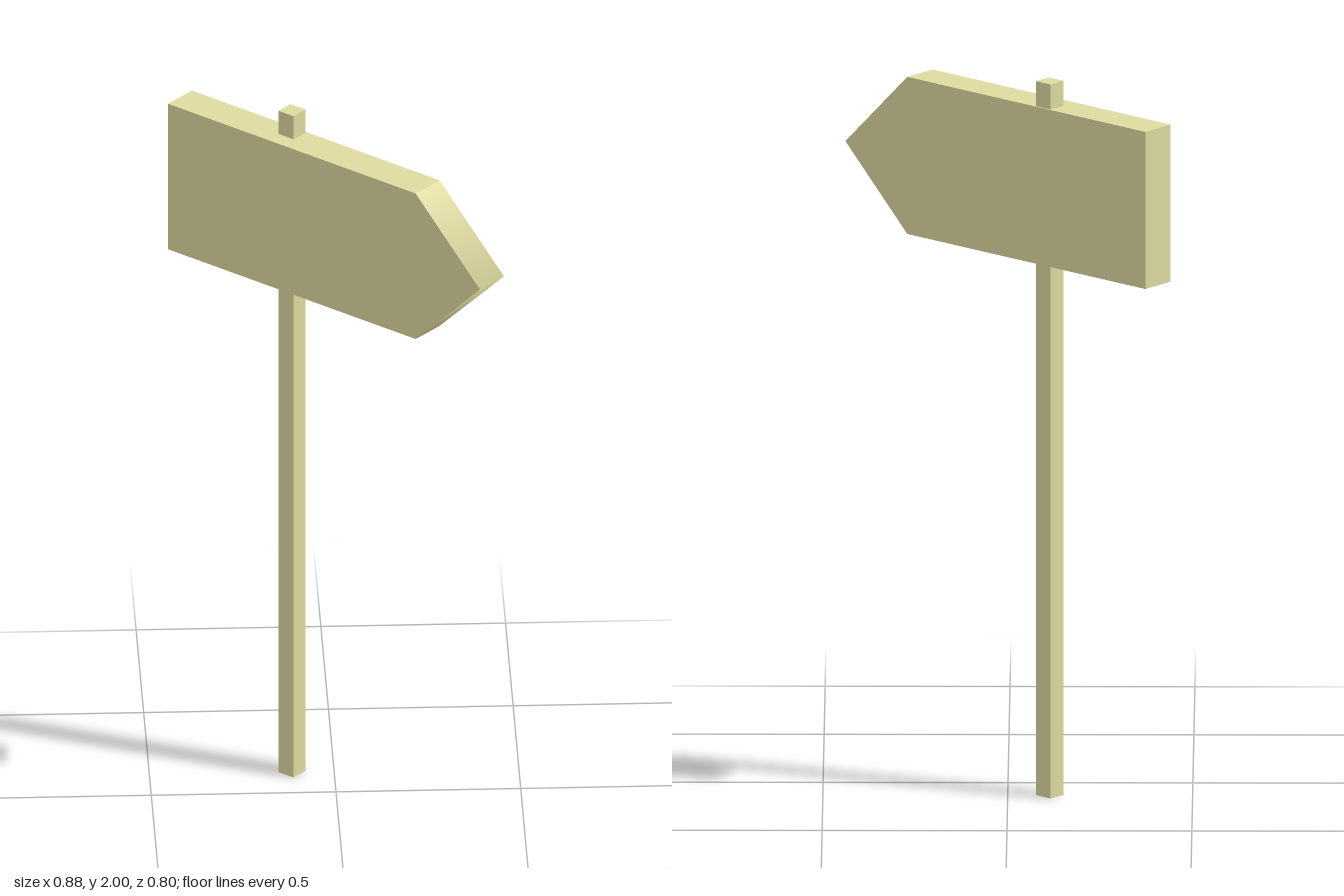
import * as THREE from 'three';

const HALF = 0.543, SHOULDER = 0.319, BOTTOM = 1.49, TOP = 1.93, THICK = 0.103;

// Pointed board, extruded from its outline
function boardGeometry() {
  const outline = new THREE.Shape([
    [-HALF, BOTTOM], [SHOULDER, BOTTOM], [HALF, (BOTTOM + TOP) / 2], [SHOULDER, TOP], [-HALF, TOP],
  ].map(([x, y]) => new THREE.Vector2(x, y)));
  const geometry = new THREE.ExtrudeGeometry(outline, { depth: THICK, bevelEnabled: false });
  geometry.translate(0, 0, -THICK / 2);

  // Smooth shading across the tip edge only
  const { position, normal } = geometry.attributes;
  for (let i = 0; i < position.count; i++) {
    if (position.getX(i) > HALF - 0.001 && Math.abs(normal.getZ(i)) < 0.5) normal.setXYZ(i, 1, 0, 0);
  }
  return geometry;
}

export function createModel() {
  const model = new THREE.Group();
  model.name = 'signpost';
  const wood = new THREE.MeshStandardMaterial({ color: 0xdedaa0 });

  // Arrow-shaped board
  const board = new THREE.Mesh(boardGeometry(), wood);
  board.name = 'arrowBoard';

  // Square post passing through the board
  const post = new THREE.Mesh(new THREE.BoxGeometry(0.052, 2, 0.052), wood);
  post.name = 'post';
  post.position.set(-0.17, 1, -0.021);

  // The whole sign is turned about the vertical
  const sign = new THREE.Group();
  sign.name = 'sign';
  sign.rotation.y = -0.722;
  sign.add(board, post);
  model.add(sign);
  return model;
}
